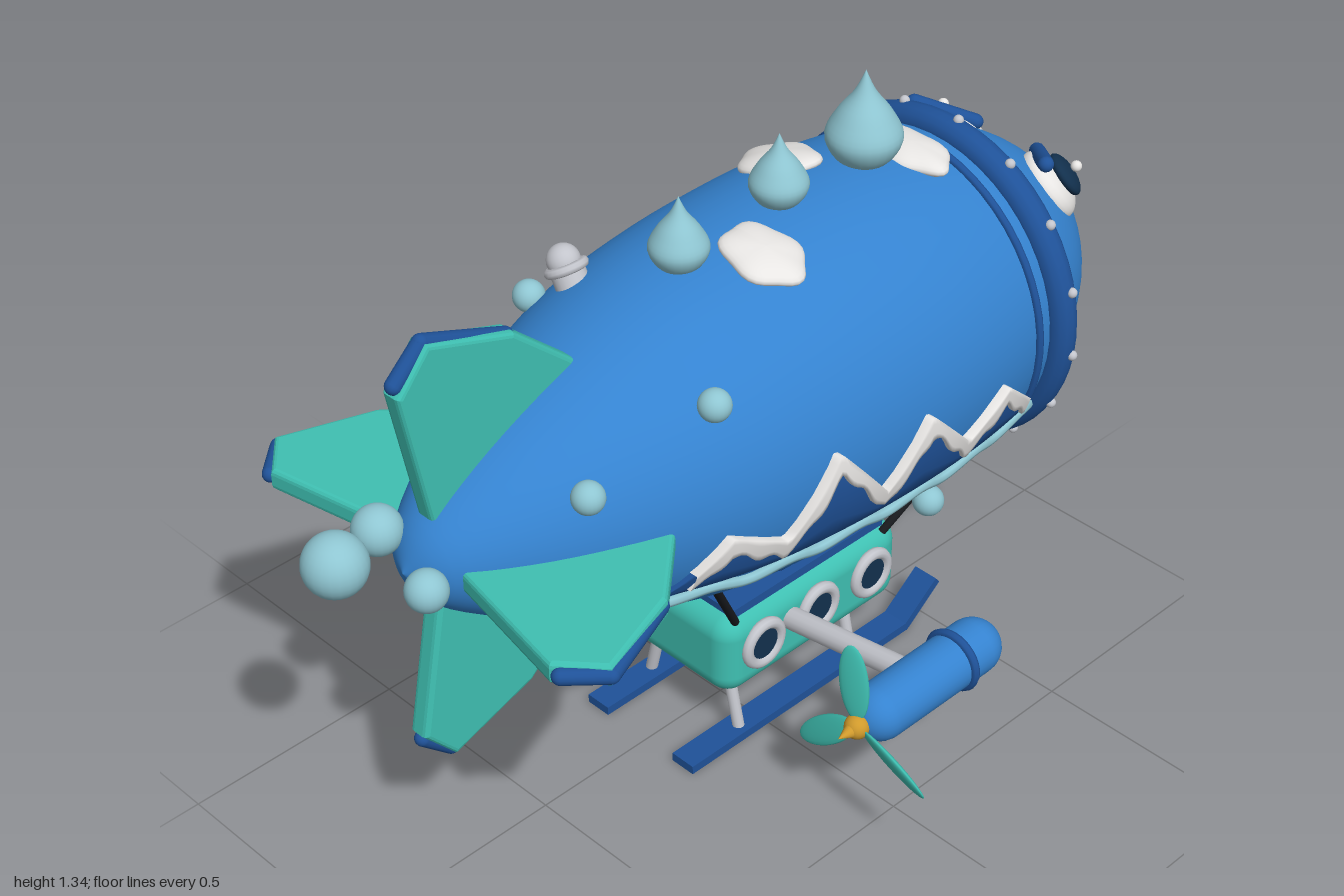
import * as THREE from 'three';
import { RoundedBoxGeometry } from 'three/addons/geometries/RoundedBoxGeometry.js';

const mat = (name, color, side = THREE.FrontSide) => {
  const m = new THREE.MeshStandardMaterial({ color, side });
  m.name = name;
  return m;
};
const V = (x, y, z) => new THREE.Vector3(x, y, z);
const AXIS = 0.768; // height of the hull axis

// Hull outline as (radius, z), nose to tail
const outline = new THREE.SplineCurve([
  [0, -1], [0.09, -0.972], [0.165, -0.92], [0.235, -0.845], [0.285, -0.765], [0.33, -0.66], [0.355, -0.55],
  [0.375, -0.38], [0.38, -0.2], [0.37, 0], [0.342, 0.2], [0.28, 0.4], [0.19, 0.6], [0.09, 0.75], [0, 0.8],
].map(([r, z]) => new THREE.Vector2(r, z))).getPoints(70);
outline[0].x = outline[outline.length - 1].x = 0;

function hullRadius(z) {
  for (let i = 1; i < outline.length; i++) {
    const a = outline[i - 1], b = outline[i];
    if (z <= b.y) return a.x + (b.x - a.x) * (z - a.y) / (b.y - a.y);
  }
  return 0;
}
// Depth x of the hull flank at a given z and y
const flankX = (z, y) => Math.sqrt(Math.max(0, hullRadius(z) ** 2 - (y - AXIS) ** 2));

export function createModel() {
  const blue = mat('hull blue', 0x3583d0);
  const dark = mat('trim blue', 0x1f5299, THREE.DoubleSide);
  const teal = mat('teal', 0x3fc0b2);
  const pale = mat('bubble blue', 0x8fc6d2);
  const white = mat('white', 0xe8e6e4, THREE.DoubleSide);
  const grey = mat('metal grey', 0xc3c5cc);
  const navy = mat('glass navy', 0x12304d);
  const black = mat('black', 0x1a1c20);
  const gold = mat('gold', 0xd09a2c);

  const model = new THREE.Group();
  model.name = 'airship';
  const root = new THREE.Group();
  root.name = 'airshipParts';
  root.position.x = -0.012;
  model.add(root);

  const add = (name, geo, material, pos = [0, 0, 0], parent = root) => {
    const m = new THREE.Mesh(geo, material);
    m.name = name;
    m.position.set(...pos);
    parent.add(m);
    return m;
  };
  const ball = (name, r, material, pos, parent) => add(name, new THREE.SphereGeometry(r, 24, 16), material, pos, parent);
  // Ellipsoid whose local z axis points along dir
  const pad = (name, scale, material, pos, dir) => {
    const m = ball(name, 1, material, pos);
    m.scale.set(...scale);
    m.up.set(0, 1, 0);
    m.lookAt(V(...pos).add(dir));
    return m;
  };
  const rod = (name, a, b, r, material, round = false, parent = root) => {
    const p = V(...a), q = V(...b), d = q.clone().sub(p), len = d.length();
    const geo = round ? new THREE.CapsuleGeometry(r, len, 6, 14) : new THREE.CylinderGeometry(r, r, len, 14);
    const m = add(name, geo, material, p.clone().add(q).multiplyScalar(0.5).toArray(), parent);
    m.quaternion.setFromUnitVectors(V(0, 1, 0), d.normalize());
    return m;
  };

  // Hull, collar rings and rivets
  add('hull', new THREE.LatheGeometry(outline, 48).rotateX(Math.PI / 2), blue, [0, AXIS, 0]);
  add('collar', new THREE.TorusGeometry(0.342, 0.035, 14, 56), dark, [0, AXIS, -0.645]);
  add('thinBand', new THREE.TorusGeometry(0.355, 0.009, 8, 56), dark, [0, AXIS, -0.565]);
  for (let i = 0; i < 16; i++) {
    const a = (i * 22.5 - 6) * Math.PI / 180;
    ball('rivet', 0.011, grey, [0.376 * Math.cos(a), AXIS + 0.376 * Math.sin(a), -0.65]);
  }

  // Tail fins with dark edge caps
  const finShape = new THREE.Shape([[0.05, 0.72], [0.39, 0.785], [0.465, 0.72], [0.40, 0.53], [0.27, 0.385], [0.05, 0.385]]
    .map(p => new THREE.Vector2(...p)));
  const finGeo = new THREE.ExtrudeGeometry(finShape, { depth: 0.024, bevelSize: 0.01, bevelThickness: 0.012, bevelSegments: 3 })
    .translate(0, 0, -0.012).rotateX(Math.PI / 2);
  for (let i = 0; i < 4; i++) {
    const fin = new THREE.Group();
    fin.name = 'tailFin';
    fin.position.y = AXIS;
    fin.rotation.z = i * Math.PI / 2;
    root.add(fin);
    add('finPanel', finGeo, teal, [0, 0, 0], fin);
    const edge = [[0.41, 0, 0.785], [0.47, 0, 0.72], [0.395, 0, 0.53]];
    for (let k = 0; k < 2; k++) rod('finEdge', edge[k], edge[k + 1], 0.017, dark, true, fin);
  }

  // Raised strip wrapped on the flank between two height curves
  const flankStrip = (name, top, bottom, z0, z1, off, material, s) => {
    const pos = [], idx = [], n = 96, rows = 7;
    for (let i = 0; i <= n; i++) {
      const z = z0 + (z1 - z0) * i / n, t = top(z), b = bottom(z);
      for (let j = 0; j < rows; j++) {
        const f = THREE.MathUtils.clamp((j - 1) / (rows - 3), 0, 1), y = t + (b - t) * f;
        pos.push(s * (flankX(z, y) + (j === 0 || j === rows - 1 ? -0.01 : off)), y, z);
        if (i < n && j < rows - 1) {
          const a = i * rows + j, c = a + rows;
          if (s > 0) idx.push(a, c, a + 1, c, c + 1, a + 1);
          else idx.push(a, a + 1, c, c, a + 1, c + 1);
        }
      }
    }
    const g = new THREE.BufferGeometry();
    g.setAttribute('position', new THREE.Float32BufferAttribute(pos, 3));
    g.setIndex(idx);
    g.computeVertexNormals();
    add(name, g, material);
  };
  const ridge = [[-0.575, 0.635], [-0.44, 0.755], [-0.32, 0.685], [-0.2, 0.81], [-0.085, 0.685], [0.04, 0.835],
    [0.16, 0.685], [0.285, 0.745], [0.385, 0.635]];
  const ridgeY = z => {
    const i = Math.min(ridge.length - 1, Math.max(1, ridge.findIndex(p => z <= p[0])));
    const [a, b] = [ridge[i - 1], ridge[i]];
    return a[1] + (b[1] - a[1]) * (z - a[0]) / (b[0] - a[0]);
  };

  const dropShape = new THREE.SplineCurve([[0, 0], [0.65, 0.22], [1, 0.85], [0.72, 1.5], [0.28, 2.1], [0, 2.7]]
    .map(p => new THREE.Vector2(...p))).getPoints(24).map(p => new THREE.Vector2(Math.max(0, p.x), p.y));

  for (const s of [1, -1]) {
    // Mountain range, snow caps and wave on each flank
    flankStrip('mountains', ridgeY, () => 0.625, -0.575, 0.385, 0.01, dark, s);
    flankStrip('snowCaps', z => ridgeY(z) + 0.005, z => Math.max(0.63, ridgeY(z) - 0.04 - 0.008 * Math.sin(z * 90)), -0.54, 0.35, 0.02, white, s);
    const wave = [];
    for (let i = 0; i <= 40; i++) {
      const z = -0.6 + 1.03 * i / 40, y = 0.6 + 0.01 * Math.sin(i * 0.95);
      wave.push(V(s * (flankX(z, y) + 0.006), y, z));
    }
    add('wave', new THREE.TubeGeometry(new THREE.CatmullRomCurve3(wave), 120, 0.012, 8), pale);

    // Belly rails running under the chin
    const rail = [];
    for (let i = 0; i <= 14; i++) {
      const z = -0.88 + 0.85 * i / 14, r = hullRadius(z) + 0.004, a = 0.4;
      rail.push(V(s * r * Math.sin(a), AXIS - r * Math.cos(a), z));
    }
    add('bellyRail', new THREE.TubeGeometry(new THREE.CatmullRomCurve3(rail), 50, 0.027, 10), dark);
    ball('railEnd', 0.027, dark, rail[0].toArray());
    ball('railEnd', 0.027, dark, rail[14].toArray());

    // Eyes and brows
    const dir = V(s * 0.5, 0.6, -0.62).normalize(), eye = V(s * 0.138, 0.955, -0.83);
    const at = (d, dx = 0, dy = 0) => eye.clone().addScaledVector(dir, d).add(V(dx, dy, 0)).toArray();
    pad('eyeWhite', [0.08, 0.08, 0.045], white, eye.toArray(), dir);
    pad('pupil', [0.05, 0.05, 0.02], navy, at(0.036, s * 0.008, 0.006), dir);
    ball('eyeGlint', 0.012, white, at(0.054, s * 0.018, 0.018));
    rod('brow', [s * 0.085, 1.005, -0.855], [s * 0.18, 1.05, -0.765], 0.017, dark, true);

    // Bubbles on the hull
    for (const p of [[0.255, 1.0, 0.255], [0.204, 0.905, 0.525], [0.295, 0.495, -0.315]])
      ball('hullBubble', 0.033, pale, [s * p[0], p[1], p[2]]);

    // Suspension cables
    rod('cable', [s * 0.215, 0.52, 0.215], [s * 0.135, 0.31, 0.08], 0.009, black);
    rod('cable', [s * 0.215, 0.51, -0.505], [s * 0.135, 0.3, -0.36], 0.009, black);

    // Portholes
    for (const z of [0.015, -0.147, -0.308]) {
      add('portholeRing', new THREE.TorusGeometry(0.047, 0.013, 10, 28).rotateY(Math.PI / 2), grey, [s * 0.154, 0.228, z]);
      add('portholeGlass', new THREE.CylinderGeometry(0.045, 0.045, 0.012, 28).rotateZ(Math.PI / 2), navy, [s * 0.153, 0.228, z]);
    }

    // Engine pod with outrigger strut and propeller
    rod('engineStrut', [s * 0.14, 0.24, -0.07], [s * 0.48, 0.295, -0.07], 0.025, grey);
    const pod = new THREE.Group();
    pod.name = 'enginePod';
    pod.position.set(s * 0.511, 0.293, 0);
    root.add(pod);
    add('podBody', new THREE.CapsuleGeometry(0.06, 0.275, 10, 28).rotateX(Math.PI / 2), blue, [0, 0, -0.082], pod);
    add('podBand', new THREE.TorusGeometry(0.06, 0.01, 8, 32), dark, [0, 0, -0.16], pod);
    ball('propellerHub', 0.026, gold, [0, 0, 0.12], pod);
    add('spinner', new THREE.ConeGeometry(0.022, 0.05, 20).rotateX(Math.PI / 2), gold, [0, 0, 0.148], pod);
    const bladeGeo = new THREE.SphereGeometry(1, 16, 14).scale(0.031, 0.09, 0.008).rotateY(0.4).translate(0, 0.102, 0);
    for (let k = 0; k < 3; k++)
      add('propellerBlade', bladeGeo, teal, [0, 0, 0.118], pod).rotation.z = 0.13 + k * Math.PI * 2 / 3;

    // Landing skids
    add('skid', new THREE.BoxGeometry(0.06, 0.02, 0.655), dark, [s * 0.128, 0.01, -0.103]);
    const tip = add('skidTip', new THREE.BoxGeometry(0.06, 0.02, 0.128), dark, [s * 0.128, 0.046, -0.475]);
    tip.rotation.x = 0.66;
    for (const z of [0.065, -0.275]) rod('skidLeg', [s * 0.132, 0.015, z], [s * 0.103, 0.14, z], 0.013, grey);
  }

  // Mouth and teeth
  const mouthDir = V(0, -0.75, -0.66);
  pad('mouth', [0.1, 0.042, 0.02], black, [0, 0.598, -0.912], mouthDir);
  for (const x of [-0.045, 0.045]) pad('tooth', [0.026, 0.015, 0.008], white, [x, 0.596, -0.936], mouthDir);

  // Water drops along the back
  for (const [z, r, y] of [[0.098, 0.06, 1.105], [-0.17, 0.06, 1.13], [-0.41, 0.079, 1.122]])
    add('waterDrop', new THREE.LatheGeometry(dropShape, 28), pale, [0, y, z]).scale.setScalar(r);

  // Cloud patches with wavy rims
  for (const [x, z, w, d] of [[0.035, -0.51, 0.098, 0.06], [-0.12, -0.295, 0.092, 0.075], [0.1, -0.028, 0.092, 0.075]]) {
    const g = new THREE.SphereGeometry(1, 36, 14), p = g.attributes.position;
    for (let i = 0; i < p.count; i++) {
      const k = 1 + 0.06 * Math.sin(5 * Math.atan2(p.getZ(i), p.getX(i)) + x * 20);
      p.setXYZ(i, p.getX(i) * k * w, p.getY(i) * 0.024, p.getZ(i) * k * d);
    }
    g.computeVertexNormals();
    const h = Math.sqrt(hullRadius(z) ** 2 - x * x);
    add('cloudPatch', g, white, [x, AXIS + h, z]).rotation.z = -Math.atan2(x, h) * 0.8;
  }

  // Relief valve on the shoulder
  const valve = new THREE.Group();
  valve.name = 'reliefValve';
  valve.position.set(-0.17, 1.06, 0.22);
  valve.rotation.z = 0.52;
  root.add(valve);
  add('valveBase', new THREE.CylinderGeometry(0.035, 0.035, 0.05, 20), grey, [0, 0.01, 0], valve);
  add('valveCollar', new THREE.TorusGeometry(0.036, 0.01, 8, 24).rotateX(Math.PI / 2), grey, [0, 0.025, 0], valve);
  ball('valveDome', 0.034, grey, [0, 0.04, 0], valve);

  // Bubbles trailing the tail
  for (const [x, y, z, r] of [[-0.01, 0.862, 0.938, 0.063], [-0.074, 0.825, 0.793, 0.05], [0.084, 0.785, 0.812, 0.042]])
    ball('tailBubble', r, pale, [x, y, z]);

  // Gondola, roof, windshield and hanger posts
  add('gondola', new RoundedBoxGeometry(0.3, 0.198, 0.525, 6, 0.05), teal, [0, 0.215, -0.146]);
  add('gondolaRoof', new THREE.BoxGeometry(0.25, 0.024, 0.45), dark, [0, 0.316, -0.146]);
  ball('windshield', 1, navy, [0, 0.23, -0.405]).scale.set(0.09, 0.05, 0.025);
  for (const z of [0.03, -0.3]) rod('hangerPost', [0, 0.31, z], [0, 0.42, z], 0.024, grey);

  return model;
}
